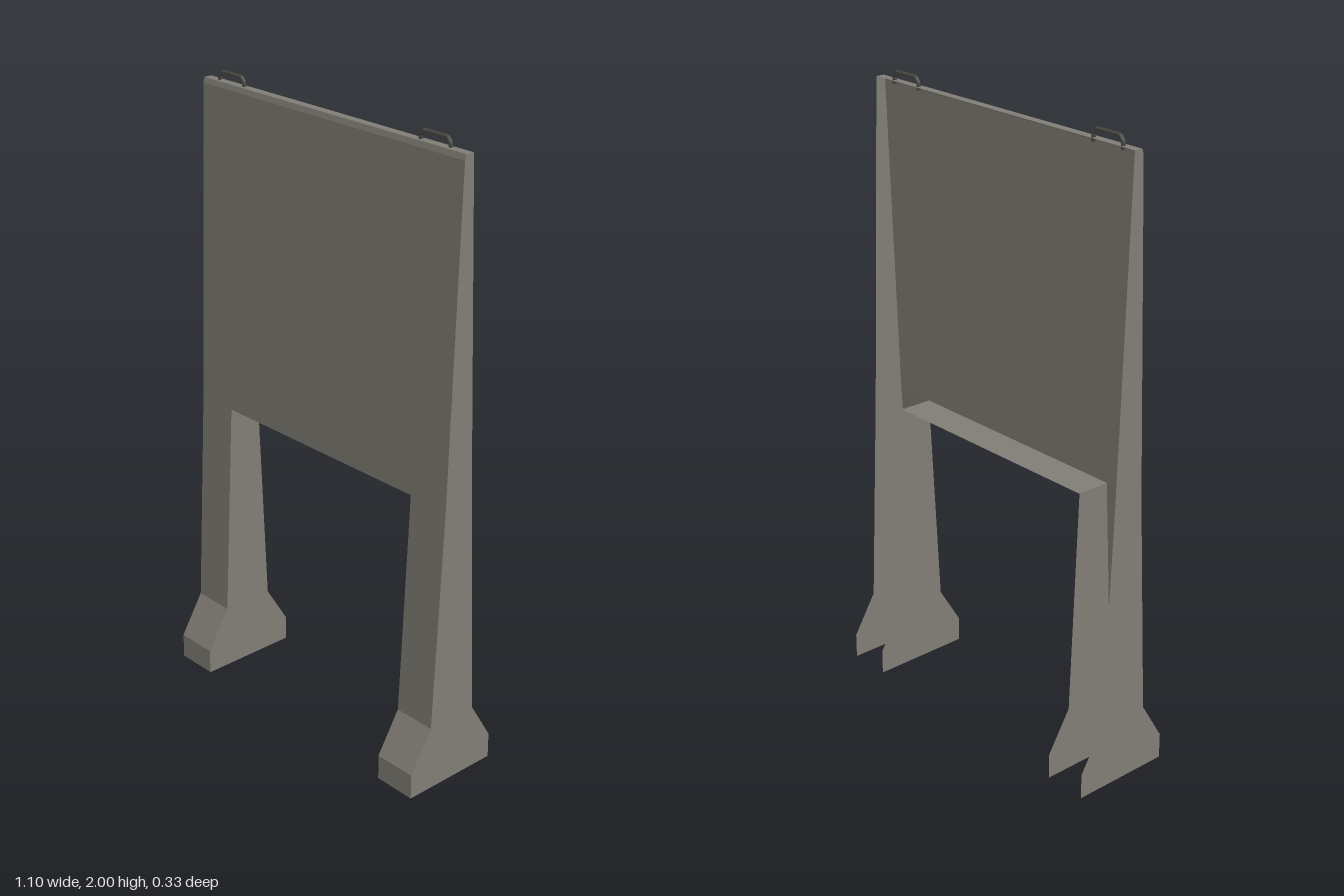
import * as THREE from 'three';

const concrete = new THREE.MeshStandardMaterial({ color: 0x807d75, side: THREE.DoubleSide });
concrete.name = 'concrete grey';
const steel = new THREE.MeshStandardMaterial({ color: 0x4a4944 });
steel.name = 'dark steel';

const HALF = 0.55, INNER = 0.408, LEDGE = 0.927, TOP = 1.967;

// Front outlines as [z, y], from the ground up
const legFront = [[0.168, 0], [0.168, 0.082], [0.089, 0.213], [0.052, LEDGE]];
const panelFront = [[0.052, LEDGE], [0.017, 1.95], [0.012, TOP], [-0.015, TOP]];
// Back outline, from the top down
const panelBack = [[-0.017, 1.95], [-0.054, LEDGE]];
const legBack = [[-0.087, 0.213], [-0.166, 0.082], [-0.166, 0]];

function add(group, geometry, material, name) {
  const mesh = new THREE.Mesh(geometry, material);
  mesh.name = name;
  group.add(mesh);
  return mesh;
}

// Sheet following an outline in the zy plane, between two x positions
function strip(x0, x1, outline) {
  const pos = [];
  for (let i = 0; i < outline.length - 1; i++) {
    const [za, ya] = outline[i], [zb, yb] = outline[i + 1];
    pos.push(x0, ya, za, x1, ya, za, x1, yb, zb);
    pos.push(x0, ya, za, x1, yb, zb, x0, yb, zb);
  }
  const g = new THREE.BufferGeometry();
  g.setAttribute('position', new THREE.Float32BufferAttribute(pos, 3));
  g.computeVertexNormals();
  return g;
}

// Flat side wall cut to a zy outline, facing along the sign of x
function sideWall(outline, x, facing) {
  const shape = new THREE.Shape(outline.map(([z, y]) => new THREE.Vector2(-facing * z, y)));
  return new THREE.ShapeGeometry(shape).rotateY(facing * Math.PI / 2).translate(x, 0, 0);
}

// Bent lifting loop set into the top edge
function liftingLoop() {
  const points = [[-0.058, -0.012], [-0.056, 0.012], [-0.044, 0.026], [0.044, 0.026], [0.056, 0.012], [0.058, -0.012]];
  const path = new THREE.CurvePath();
  for (let i = 0; i < points.length - 1; i++) {
    path.add(new THREE.LineCurve3(
      new THREE.Vector3(...points[i], 0), new THREE.Vector3(...points[i + 1], 0)));
  }
  return new THREE.TubeGeometry(path, 40, 0.0065, 8, false);
}

export function createModel() {
  const model = new THREE.Group();
  model.name = 'concreteWall';

  // Panel: open at the back, with a ledge along its lower edge
  add(model, strip(-HALF, HALF, panelFront), concrete, 'panel');
  add(model, strip(-INNER, INNER, [[-0.058, LEDGE], [0.052, LEDGE]]), concrete, 'ledge');

  for (const side of [-1, 1]) {
    const label = side > 0 ? 'left' : 'right';

    // Hollow leg with flared foot
    const leg = new THREE.Group();
    leg.name = label + 'Leg';
    const x0 = side > 0 ? INNER : -HALF, x1 = side > 0 ? HALF : -INNER;
    add(leg, strip(x0, x1, legFront), concrete, 'legFront');
    add(leg, sideWall([...legFront, ...panelFront.slice(1), ...panelBack, ...legBack], side * HALF, side),
      concrete, 'outerWall');
    add(leg, sideWall([...legFront, [-0.058, LEDGE], ...legBack], side * INNER, -side), concrete, 'innerWall');
    model.add(leg);

    add(model, liftingLoop(), steel, label + 'LiftingLoop')
      .position.set(side > 0 ? 0.42 : -0.438, TOP, -0.004);
  }
  return model;
}
